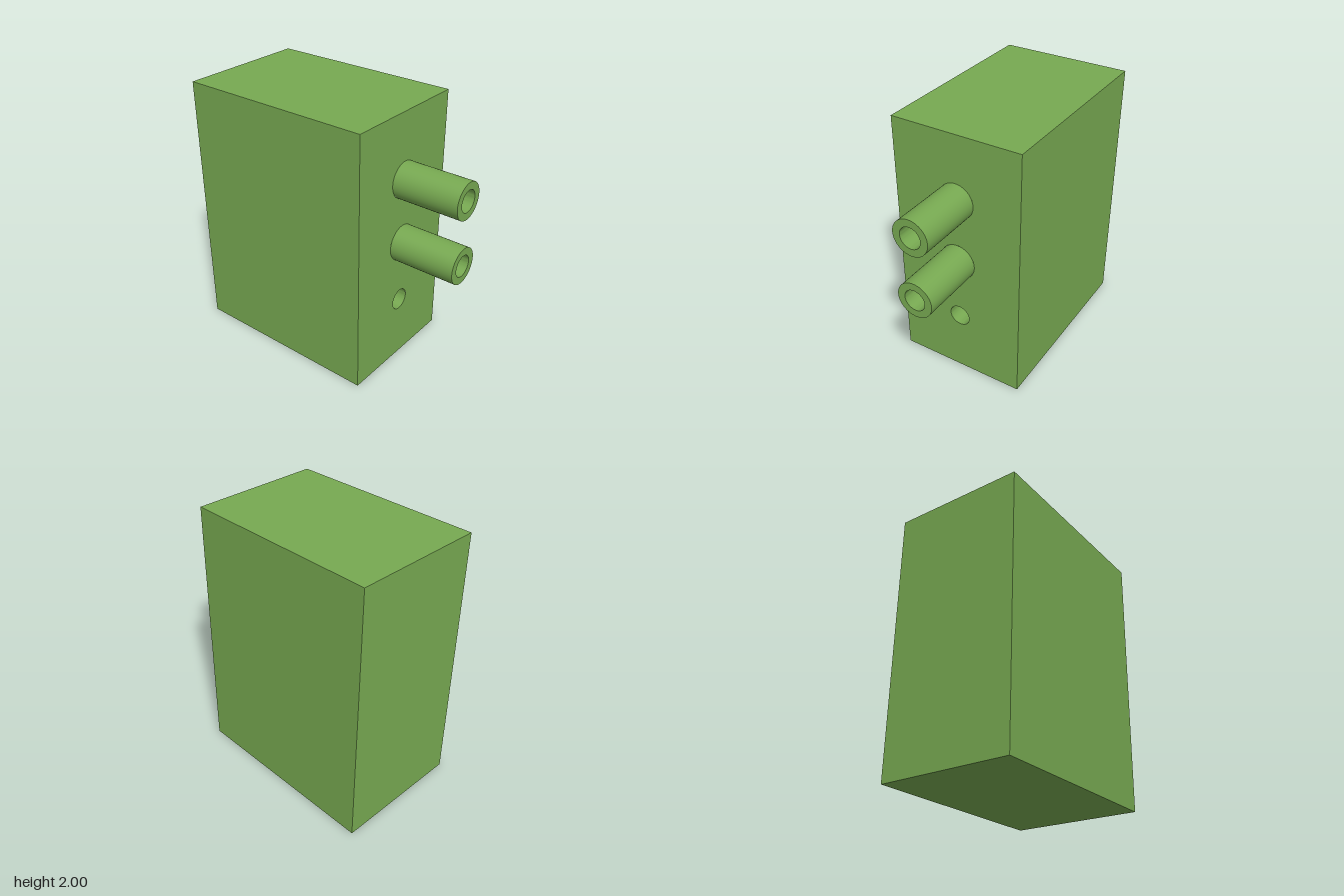
import * as THREE from 'three';
import { toCreasedNormals } from 'three/addons/utils/BufferGeometryUtils.js';

const SEGMENTS = 64;
const OUTER = 0.137, BORE = 0.081;   // tube and bore radii
const FRONT = 0.5, DEPTH = 0.5;      // front face position, bore depth behind it

export function createModel() {
  const model = new THREE.Group();
  const material = new THREE.MeshStandardMaterial({ color: 0x77a951 });

  const add = (name, geometry, parent = model) => {
    const mesh = new THREE.Mesh(geometry, material);
    mesh.name = name;
    parent.add(mesh);
    return mesh;
  };

  // Body: a box left open at the front, closed by a pierced panel
  const body = new THREE.Group();
  body.name = 'body';
  model.add(body);

  const shell = new THREE.BoxGeometry(1, 2, 1.5);
  const front = shell.groups[4];
  const index = Array.from(shell.index.array);
  index.splice(front.start, front.count);
  shell.setIndex(index);
  shell.clearGroups();
  add('bodyShell', shell, body).position.set(0, 1, -0.25);

  const panel = new THREE.Shape([[-0.5, 0], [0.5, 0], [0.5, 2], [-0.5, 2]]
    .map(([x, y]) => new THREE.Vector2(x, y)));
  for (const [y, r] of [[1.5, OUTER], [1, OUTER], [0.5, BORE]]) {
    panel.holes.push(new THREE.Path().absarc(0, y, r, 0, Math.PI * 2, true));
  }
  add('frontPanel', new THREE.ShapeGeometry(panel, SEGMENTS), body).position.z = FRONT;

  // Turned parts, with their axis pointing forward
  const turned = (name, y, profile) => {
    const points = profile.map(([r, h]) => new THREE.Vector2(r, h));
    const mesh = add(name, toCreasedNormals(new THREE.LatheGeometry(points, SEGMENTS), 0.6));
    mesh.rotation.x = Math.PI / 2;
    mesh.position.set(0, y, FRONT);
  };

  // Two hollow tubes, with bores running on into the body
  const tube = [[OUTER, 0], [OUTER, 0.5], [BORE, 0.5], [BORE, -DEPTH], [0, -DEPTH]];
  turned('upperTube', 1.5, tube);
  turned('lowerTube', 1, tube);

  // Plain hole below the tubes
  turned('socketHole', 0.5, [[BORE, 0], [BORE, -DEPTH], [0, -DEPTH]]);

  return model;
}
